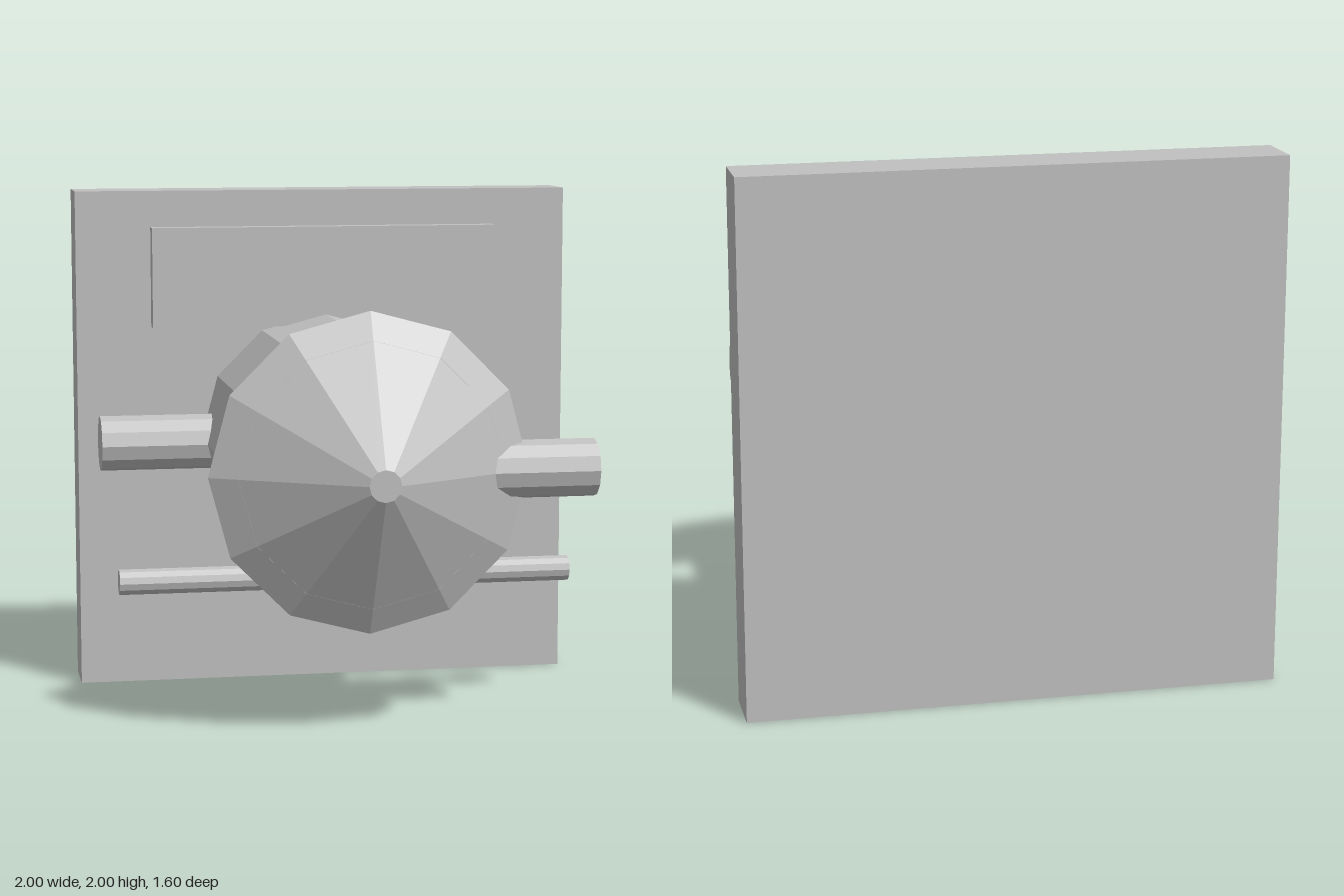
import * as THREE from 'three';

export function createModel() {
  const model = new THREE.Group();
  const grey = new THREE.MeshStandardMaterial({ color: 0xc0c0c0, flatShading: true });
  grey.name = 'grey';

  const add = (name, geometry, x, y, z) => {
    const mesh = new THREE.Mesh(geometry, grey);
    mesh.name = name;
    mesh.position.set(x, y, z);
    model.add(mesh);
  };

  // Twelve-sided round part along z, from z0 (radius r0) to z1 (radius r1)
  const alongZ = (name, r0, r1, z0, z1) =>
    add(name, new THREE.CylinderGeometry(r1, r0, z1 - z0, 12).rotateX(Math.PI / 2), 0, 1, (z0 + z1) / 2);

  // Twelve-sided rod along x
  const alongX = (name, r, x0, x1, y, z) =>
    add(name, new THREE.CylinderGeometry(r, r, x1 - x0, 12).rotateZ(Math.PI / 2), (x0 + x1) / 2, y, z);

  // Wall plate with a raised panel
  add('backPlate', new THREE.BoxGeometry(2, 2, 0.22), 0, 1, -0.69);
  add('raisedPanel', new THREE.BoxGeometry(1.4, 0.4, 0.08), 0, 1.655, -0.55);

  // Barrel and its overhanging conical cap
  alongZ('barrel', 0.5, 0.5, -0.6, 0.545);
  alongZ('conicalCap', 0.605, 0.06, 0.485, 0.795);

  // Side pipes and the thin cross rod beneath
  alongX('rearPipe', 0.11, -0.92, -0.4, 1, -0.48);
  alongX('frontPipe', 0.11, 0.4, 0.86, 1, 0.46);
  alongX('crossRod', 0.05, -0.89, 0.89, 0.52, -0.035);

  return model;
}
